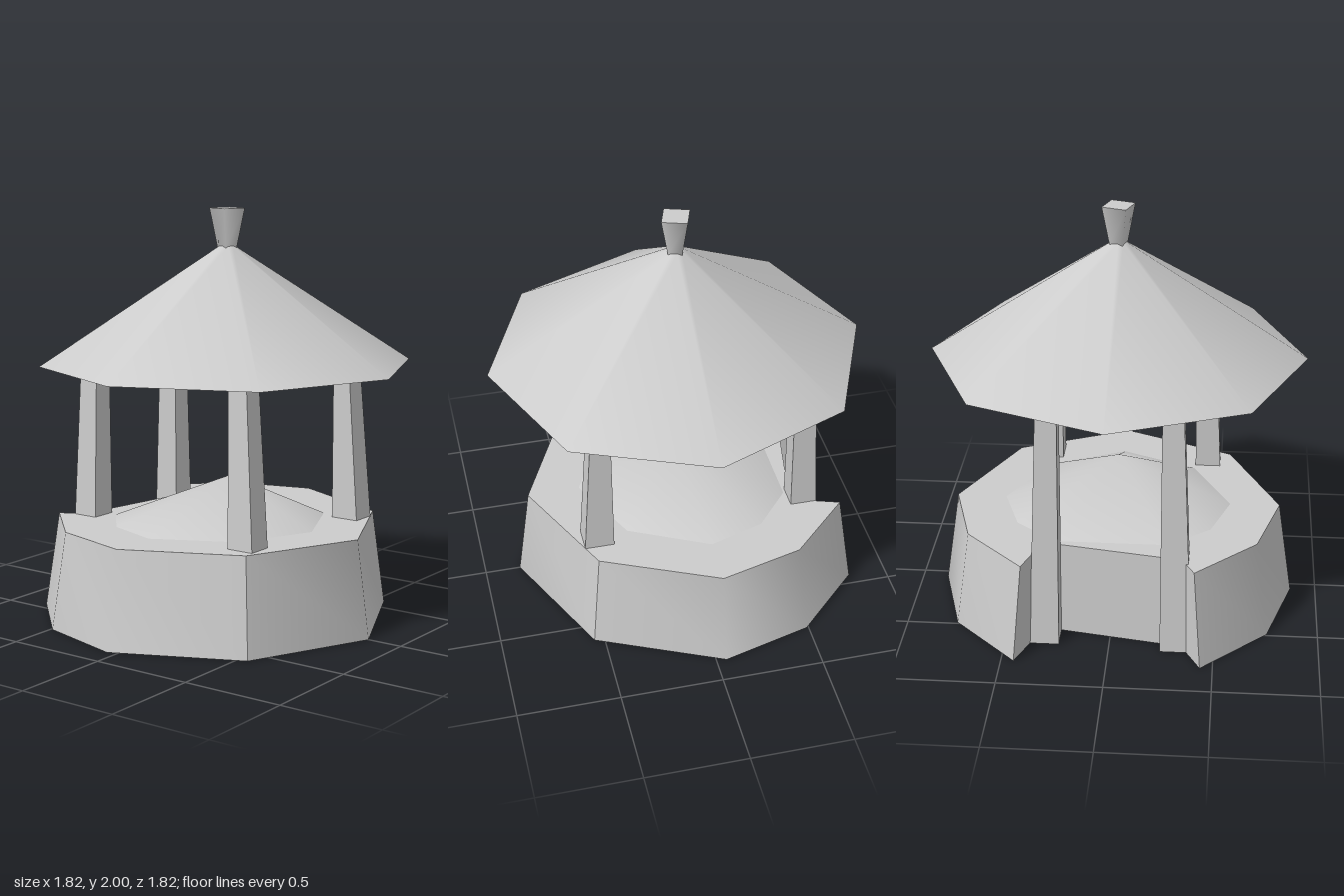
import * as THREE from 'three';

const stone = new THREE.MeshStandardMaterial({ color: 0xcccccc, side: THREE.DoubleSide });
stone.name = 'pale grey stone';

const RIM = 0.475;   // height of the plinth's top
const TAPER = 0.919; // plinth narrows towards the top

function addMesh(group, name, geometry) {
  const mesh = new THREE.Mesh(geometry, stone);
  mesh.name = name;
  group.add(mesh);
  return mesh;
}

function indexed(positions, index) {
  const g = new THREE.BufferGeometry();
  g.setAttribute('position', new THREE.Float32BufferAttribute(positions, 3));
  g.setIndex(index);
  g.computeVertexNormals();
  return g;
}

// Wall along a path of [x, z] points, smooth along its length
function wall(bottom, top) {
  const pos = [], idx = [];
  bottom.forEach(([x, z], i) => {
    pos.push(x, 0, z, top[i][0], RIM, top[i][1]);
    if (i) idx.push(2 * i - 2, 2 * i, 2 * i - 1, 2 * i, 2 * i + 1, 2 * i - 1);
  });
  return indexed(pos, idx);
}

// Tapered square post, open underneath; rectangles are [x0, x1, z0, z1]
function post(low, high, yLow, yHigh) {
  const g = new THREE.BoxGeometry(1, 1, 1);
  const p = g.attributes.position;
  for (let i = 0; i < p.count; i++) {
    const up = p.getY(i) > 0, r = up ? high : low;
    p.setXYZ(i, p.getX(i) > 0 ? r[1] : r[0], up ? yHigh : yLow, p.getZ(i) > 0 ? r[3] : r[2]);
  }
  g.setIndex(Array.from(g.index.array).filter((_, i) => i < 18 || i >= 24));
  g.computeVertexNormals();
  return g;
}

const mirror = (pts) => pts.map(([x, z]) => [-x, z]).reverse();
const shrink = (pts) => pts.map(([x, z]) => [x * TAPER, z * TAPER]);
const toVectors = (pts) => pts.map(([x, z]) => new THREE.Vector2(x, -z));

export function createModel() {
  const model = new THREE.Group();
  model.name = 'well house';

  // Plinth walls, with a notch at the back
  const front = [[-0.6, 0.55], [0, 0.825], [0.6, 0.55]];
  const side = [[0.6, 0.55], [0.875, -0.05], [0.755, -0.49], [0.44, -0.81]];
  const otherSide = mirror(side);
  const plinth = new THREE.Group();
  plinth.name = 'plinth';
  model.add(plinth);
  addMesh(plinth, 'plinthFront', wall(front, shrink(front)));
  addMesh(plinth, 'plinthLeftSide', wall(side, shrink(side)));
  addMesh(plinth, 'plinthRightSide', wall(otherSide, shrink(otherSide)));

  const notch = [[0.44, -0.81], [0.34, -0.55], [0.25, -0.52], [-0.25, -0.61], [-0.34, -0.62], [-0.44, -0.81]];
  const notchTop = notch.map((p, i) => (i === 0 || i === 5 ? [p[0] * TAPER, p[1] * TAPER] : p));
  for (let i = 0; i < 5; i++) {
    addMesh(plinth, 'notchWall', wall(notch.slice(i, i + 2), notchTop.slice(i, i + 2)));
  }

  // Flat rim around the mound
  const moundHalf = [[0.37, 0.33], [0.56, -0.05], [0.47, -0.32], [0.27, -0.49]];
  const moundEdge = [[0, 0.5], ...moundHalf, ...mirror(moundHalf)];
  const rimShape = new THREE.Shape(toVectors([
    ...shrink(front), ...shrink(side).slice(1), ...notchTop.slice(1, 5), ...shrink(otherSide).slice(0, -1),
  ]));
  rimShape.holes.push(new THREE.Path(toVectors(moundEdge)));
  const rim = addMesh(plinth, 'plinthRim', new THREE.ShapeGeometry(rimShape).rotateX(-Math.PI / 2));
  rim.position.y = RIM;

  // Low pointed mound
  const pos = [0, 0.695, 0.02], idx = [];
  moundEdge.forEach(([x, z], i) => {
    pos.push(x, RIM, z);
    idx.push(0, 1 + i, 1 + (i + 1) % moundEdge.length);
  });
  addMesh(model, 'mound', indexed(pos, idx));

  // Four posts
  const TOP = 1.21;
  addMesh(model, 'frontLeftPost',
    post([0.32, 0.455, 0.41, 0.56], [0.32, 0.425, 0.41, 0.5], 0.37, TOP));
  addMesh(model, 'frontRightPost',
    post([-0.505, -0.375, 0.37, 0.51], [-0.47, -0.37, 0.345, 0.45], 0.37, TOP));
  addMesh(model, 'backLeftPost',
    post([0.24, 0.38, -0.65, -0.5], [0.24, 0.34, -0.605, -0.505], 0, TOP));
  addMesh(model, 'backRightPost',
    post([-0.395, -0.245, -0.68, -0.53], [-0.345, -0.245, -0.64, -0.54], 0, TOP));

  // Eight-sided roof, open underneath
  const roof = addMesh(model, 'roof', new THREE.CylinderGeometry(0.035, 0.912, 0.57, 8, 1, true));
  roof.position.y = 1.535;

  // Four-sided flared finial
  const finial = addMesh(model, 'finial', new THREE.CylinderGeometry(0.086, 0.047, 0.19, 4));
  finial.position.y = 1.905;
  finial.rotation.y = THREE.MathUtils.degToRad(27);

  return model;
}
